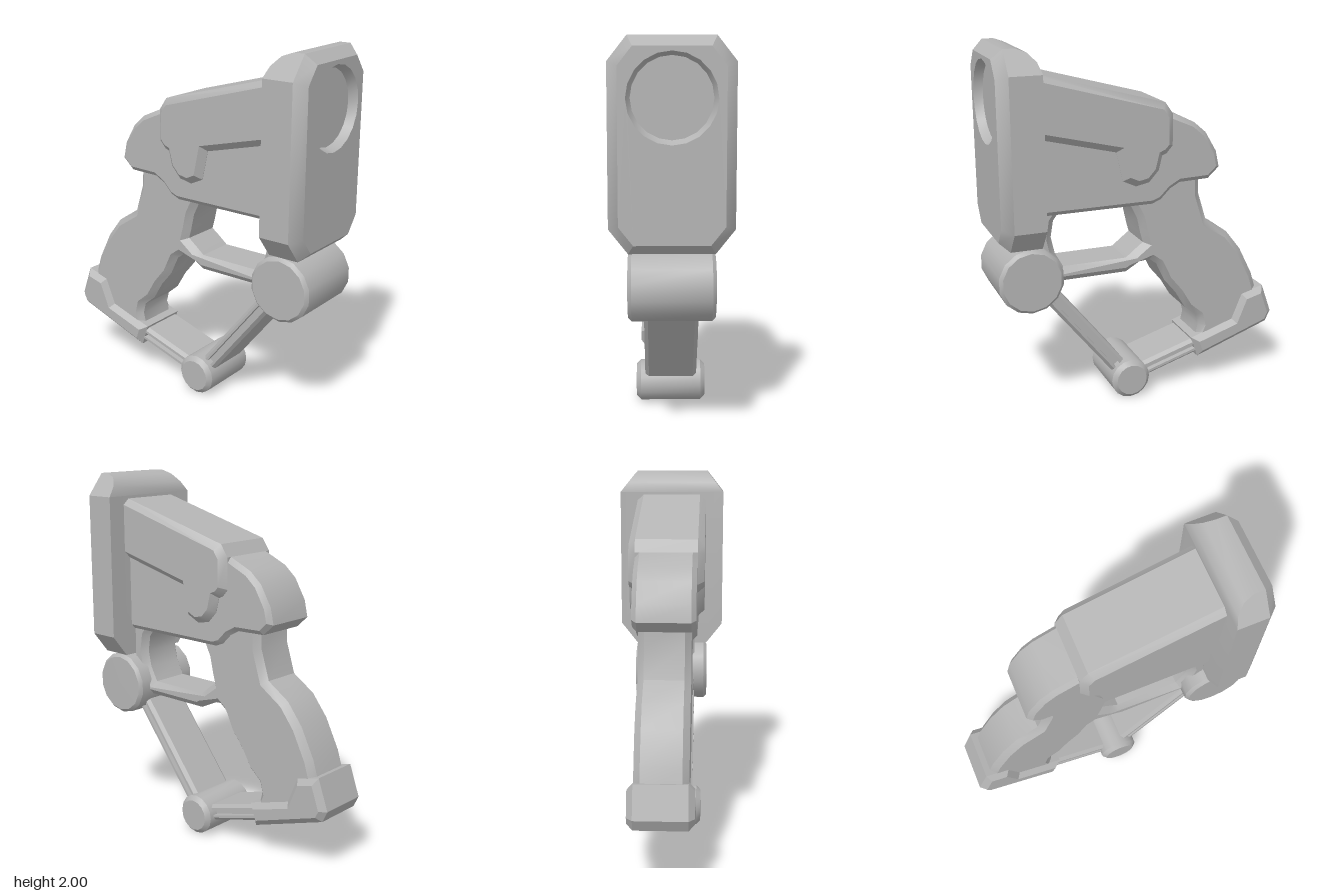
import * as THREE from 'three';
import { toCreasedNormals } from 'three/addons/utils/BufferGeometryUtils.js';

const grey = new THREE.MeshStandardMaterial({ color: 0xb4b4b4 });
grey.name = 'plain grey';

const toPoints = (list) => list.map(([x, y]) => new THREE.Vector2(x, y));

function part(name, geometry, parent) {
  const mesh = new THREE.Mesh(toCreasedNormals(geometry, 0.5), grey);
  mesh.name = name;
  parent.add(mesh);
  return mesh;
}

// Side outline extruded across z with a chamfer kept inside the outline
function slab(outline, halfWidth, bevel, hole) {
  const shape = new THREE.Shape(toPoints(outline));
  if (hole) shape.holes.push(new THREE.Path(toPoints(hole)));
  const depth = 2 * (halfWidth - bevel);
  const geo = new THREE.ExtrudeGeometry(shape, {
    depth, bevelEnabled: true, bevelSegments: 1,
    bevelSize: bevel, bevelThickness: bevel, bevelOffset: -bevel,
  });
  return geo.translate(0, 0, -depth / 2);
}

// Chamfered roller lying along z
function roller(x, y, radius, halfWidth, chamfer, sides) {
  const r = radius - chamfer, h = halfWidth - chamfer;
  return new THREE.LatheGeometry(toPoints([
    [0, -halfWidth], [r, -halfWidth], [radius, -h], [radius, h], [r, halfWidth], [0, halfWidth],
  ]), sides).rotateX(Math.PI / 2).translate(x, y, 0);
}

// Strut between two points, with a groove down both sides
function strut([x0, y0], [x1, y1]) {
  const half = [[-0.045, 0.12], [-0.028, 0.14], [-0.014, 0.14], [-0.014, 0.11],
    [0.014, 0.11], [0.014, 0.14], [0.028, 0.14], [0.045, 0.12]];
  const section = [...half, ...half.map(([u, v]) => [-u, -v])];
  const length = Math.hypot(x1 - x0, y1 - y0);
  return new THREE.ExtrudeGeometry(new THREE.Shape(toPoints(section)), { depth: length, bevelEnabled: false })
    .rotateX(-Math.PI / 2).rotateZ(Math.atan2(y1 - y0, x1 - x0) - Math.PI / 2)
    .translate(x0, y0, 0);
}

// Octagonal ring of the muzzle block as [z, y], clockwise seen from +x
function muzzleRing(top, inset) {
  const side = 0.305 - inset, bottom = 0.97 + inset, c = 0.79;
  const shoulder = 1.88 - inset * 0.4, foot = 1.09 + inset * 0.4;
  const topHalf = side - (top - shoulder) * c;
  const footHalf = side - (foot - bottom) * c;
  return [[topHalf, top], [-topHalf, top], [-side, shoulder], [-side, foot],
    [-footHalf, bottom], [footHalf, bottom], [side, foot], [side, shoulder]];
}

function muzzleBlock() {
  const group = new THREE.Group();
  group.name = 'muzzle block';
  // x, top height, inset
  const stations = [[0.58, 1.881, 0], [0.595, 1.935, 0], [0.635, 1.98, 0],
    [0.69, 2, 0], [0.75, 2, 0], [0.805, 1.95, 0.05]];
  const rings = stations.map(([x, top, inset]) => muzzleRing(top, inset).map(([z, y]) => [x, y, z]));
  const pos = [];
  for (let j = 0; j < rings.length - 1; j++) {
    for (let k = 0; k < 8; k++) {
      const n = (k + 1) % 8;
      const a = rings[j][k], b = rings[j + 1][k], c = rings[j + 1][n], d = rings[j][n];
      pos.push(...a, ...b, ...c, ...a, ...c, ...d);
    }
  }
  for (let k = 1; k < 7; k++) pos.push(...rings[0][0], ...rings[0][k], ...rings[0][k + 1]);
  const shell = new THREE.BufferGeometry();
  shell.setAttribute('position', new THREE.Float32BufferAttribute(pos, 3));
  shell.computeVertexNormals();
  part('muzzle casing', shell, group);

  // Front face with the round lens opening
  const sides = 20, cy = 1.712, outer = 0.217, inner = 0.197, depth = 0.045;
  const circle = [];
  for (let i = 0; i < sides; i++) {
    const a = (i / sides) * Math.PI * 2;
    circle.push([Math.sin(a) * outer, cy + Math.cos(a) * outer]);
  }
  const face = new THREE.Shape(toPoints(muzzleRing(1.95, 0.05)));
  face.holes.push(new THREE.Path(toPoints(circle)));
  part('muzzle face', new THREE.ShapeGeometry(face).rotateY(Math.PI / 2).translate(0.805, 0, 0), group);

  // Recessed lens: sloping rim and flat disc, opening toward +x
  const lens = new THREE.LatheGeometry(toPoints([[outer, 0], [inner, -depth], [0, -depth]]), sides);
  lens.index.array.reverse();
  lens.computeVertexNormals();
  lens.rotateZ(-Math.PI / 2).translate(0.805, cy, 0);
  const mesh = part('lens recess', lens, group);
  mesh.material = lensGrey;
  return group;
}
const lensGrey = grey.clone();
lensGrey.side = THREE.DoubleSide;

export function createModel() {
  const model = new THREE.Group();
  model.name = 'blaster';

  // Lower body with the rounded rear
  part('body', slab([
    [-0.455, 1.29], [-0.435, 1.38], [-0.37, 1.49], [-0.3, 1.55], [-0.165, 1.61], [0.65, 1.61],
    [0.65, 1.12], [-0.06, 1.12], [-0.11, 1.14], [-0.165, 1.195], [-0.22, 1.225], [-0.39, 1.23],
  ], 0.165, 0.025), model);

  // Wider cover over the body, with a drop-shaped tab
  part('top cover', slab([
    [-0.165, 1.61], [-0.12, 1.675], [0.65, 1.884], [0.65, 1.552], [0.155, 1.43], [0.12, 1.27],
    [0.045, 1.235], [-0.03, 1.25], [-0.085, 1.31], [-0.105, 1.39], [-0.13, 1.4], [-0.165, 1.44],
  ], 0.203, 0.036), model);

  // Grip and trigger guard in one piece
  part('grip and trigger guard', slab([
    [-0.345, 1.28], [-0.35, 1.14], [-0.4, 0.98], [-0.53, 0.895], [-0.62, 0.78], [-0.7, 0.62],
    [-0.75, 0.46], [-0.73, 0.36], [-0.34, 0.25], [-0.365, 0.35], [-0.35, 0.41], [-0.28, 0.47],
    [-0.22, 0.57], [-0.15, 0.655], [-0.1, 0.76], [-0.06, 0.79], [0, 0.785], [0.08, 0.738],
    [0.61, 0.738], [0.61, 1.28],
  ], 0.14, 0.034, [
    [0.08, 1.17], [0.055, 1.12], [0.015, 1.04], [-0.005, 0.95], [-0.02, 0.895], [0.03, 0.858],
    [0.08, 0.818], [0.44, 0.818], [0.485, 0.9], [0.505, 0.99], [0.49, 1.08], [0.46, 1.12], [0.43, 1.17],
  ]), model);

  // Shoe around the bottom of the grip
  part('grip shoe', slab([
    [-0.82, 0.377], [-0.76, 0.545], [-0.625, 0.51], [-0.565, 0.365],
    [-0.31, 0.285], [-0.35, 0.165], [-0.79, 0.315],
  ], 0.17, 0.032), model);

  // Folding frame: two struts joined by rollers
  part('lower strut', strut([-0.4, 0.25], [0.075, 0.11]), model);
  part('front strut', strut([0.075, 0.11], [0.62, 0.8]), model);
  part('small roller', roller(0.075, 0.112, 0.112, 0.188, 0.024, 16), model);
  part('large roller', roller(0.64, 0.79, 0.178, 0.214, 0.018, 14), model);

  model.add(muzzleBlock());
  return model;
}
